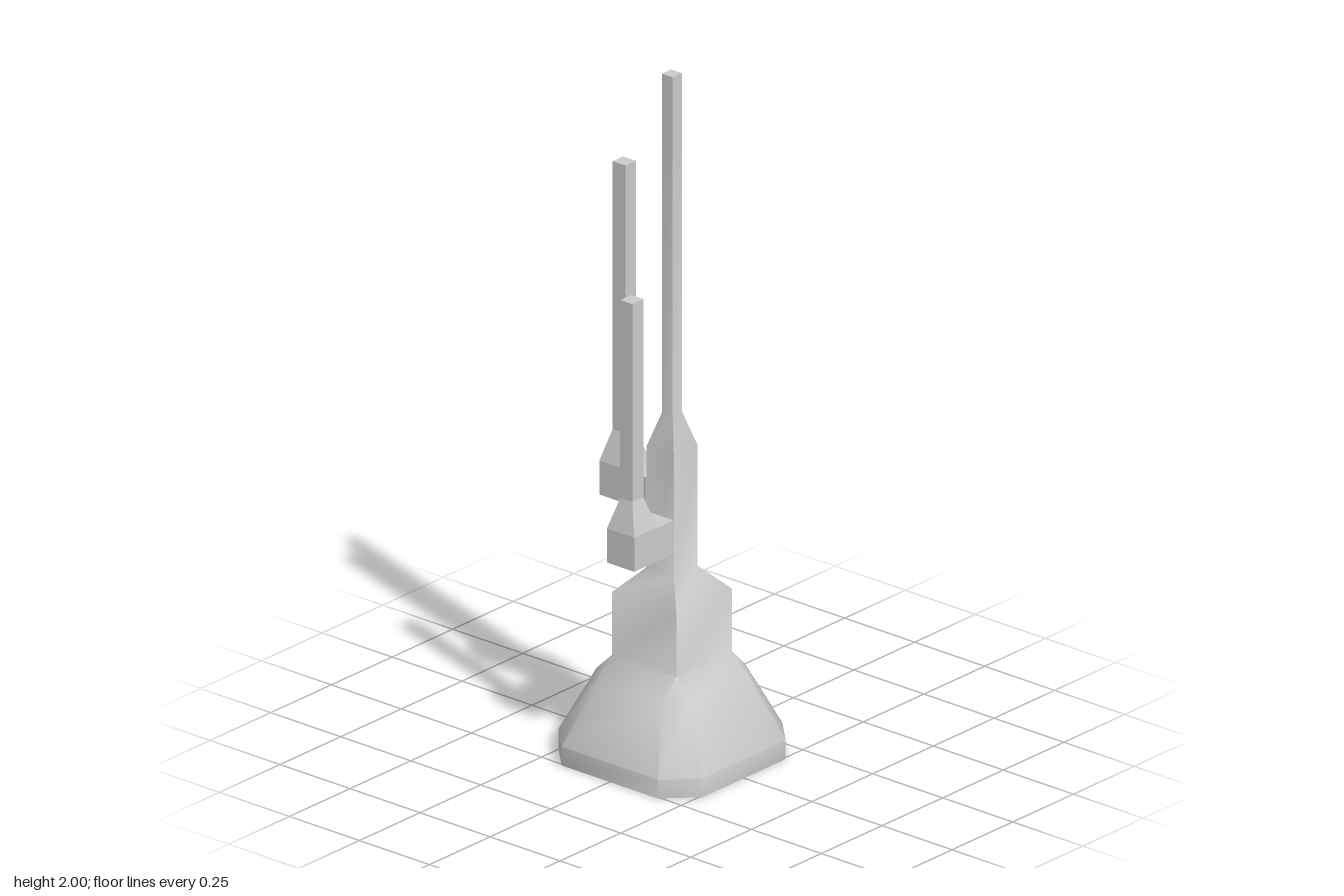
import * as THREE from 'three';
import { toCreasedNormals } from 'three/addons/utils/BufferGeometryUtils.js';

const material = new THREE.MeshStandardMaterial({ color: 0xcccccc });

// Corner points of a rectangle with chamfered corners, at height y
function ring([y, hx, hz = hx, chamfer = 0]) {
  const points = [];
  for (const [sx, sz] of [[1, 1], [-1, 1], [-1, -1], [1, -1]]) {
    const alongZ = new THREE.Vector3(sx * hx, y, sz * (hz - chamfer));
    const alongX = new THREE.Vector3(sx * (hx - chamfer), y, sz * hz);
    points.push(...(sx * sz > 0 ? [alongZ, alongX] : [alongX, alongZ]));
  }
  return points;
}

// Closed solid through a stack of sections [y, halfX, halfZ, chamfer]
function loft(name, sections, crease) {
  const rings = sections.map(ring);
  const positions = [];
  const triangle = (a, b, c) => {
    const area = b.clone().sub(a).cross(c.clone().sub(a)).length();
    if (area > 1e-8) for (const p of [a, b, c]) positions.push(p.x, p.y, p.z);
  };
  const bottom = rings[0];
  const top = rings[rings.length - 1];
  const bottomCentre = new THREE.Vector3(0, sections[0][0], 0);
  const topCentre = new THREE.Vector3(0, sections[sections.length - 1][0], 0);
  for (let i = 0; i < 8; i++) {
    const j = (i + 1) % 8;
    for (let k = 0; k < rings.length - 1; k++) {
      const a = rings[k], b = rings[k + 1];
      triangle(a[i], b[i], a[j]);
      triangle(b[i], b[j], a[j]);
    }
    triangle(bottomCentre, bottom[i], bottom[j]);
    triangle(topCentre, top[j], top[i]);
  }
  const geometry = new THREE.BufferGeometry();
  geometry.setAttribute('position', new THREE.Float32BufferAttribute(positions, 3));
  const mesh = new THREE.Mesh(toCreasedNormals(geometry, crease), material);
  mesh.name = name;
  return mesh;
}

// Side spire standing at +z on a short horizontal arm
function sideSpire(name, bottom, height) {
  const group = new THREE.Group();
  group.name = name;
  const spire = loft(name + 'Mast', [
    [0, 0.049, 0.0465],
    [0.1, 0.049, 0.0465],
    [0.19, 0.0215, 0.023],
    [height, 0.0215, 0.023],
  ], 0.1);
  spire.position.set(0, bottom, 0.1655);
  const arm = new THREE.Mesh(new THREE.BoxGeometry(0.098, 0.098, 0.08), material);
  arm.name = name + 'Arm';
  arm.position.set(0, bottom + 0.049, 0.085);
  group.add(spire, arm);
  return group;
}

export function createModel() {
  const model = new THREE.Group();
  model.name = 'spireTower';

  // Flared base, square neck, column and central mast in one body
  model.add(loft('towerBody', [
    [0, 0.257, 0.257, 0.085],
    [0.055, 0.257, 0.257, 0.085],
    [0.24, 0.172, 0.172, 0.06],
    [0.295, 0.115],
    [0.48, 0.115],
    [0.55, 0.049],
    [0.905, 0.049],
    [1.005, 0.019],
    [2, 0.019],
  ], 0.85));

  // Front spire, and a higher one turned to the right side
  const front = sideSpire('frontSpire', 0.617, 0.772);
  const right = sideSpire('rightSpire', 0.716, 0.978);
  right.rotation.y = -Math.PI / 2;
  right.position.x = -0.005;
  model.add(front, right);

  return model;
}
